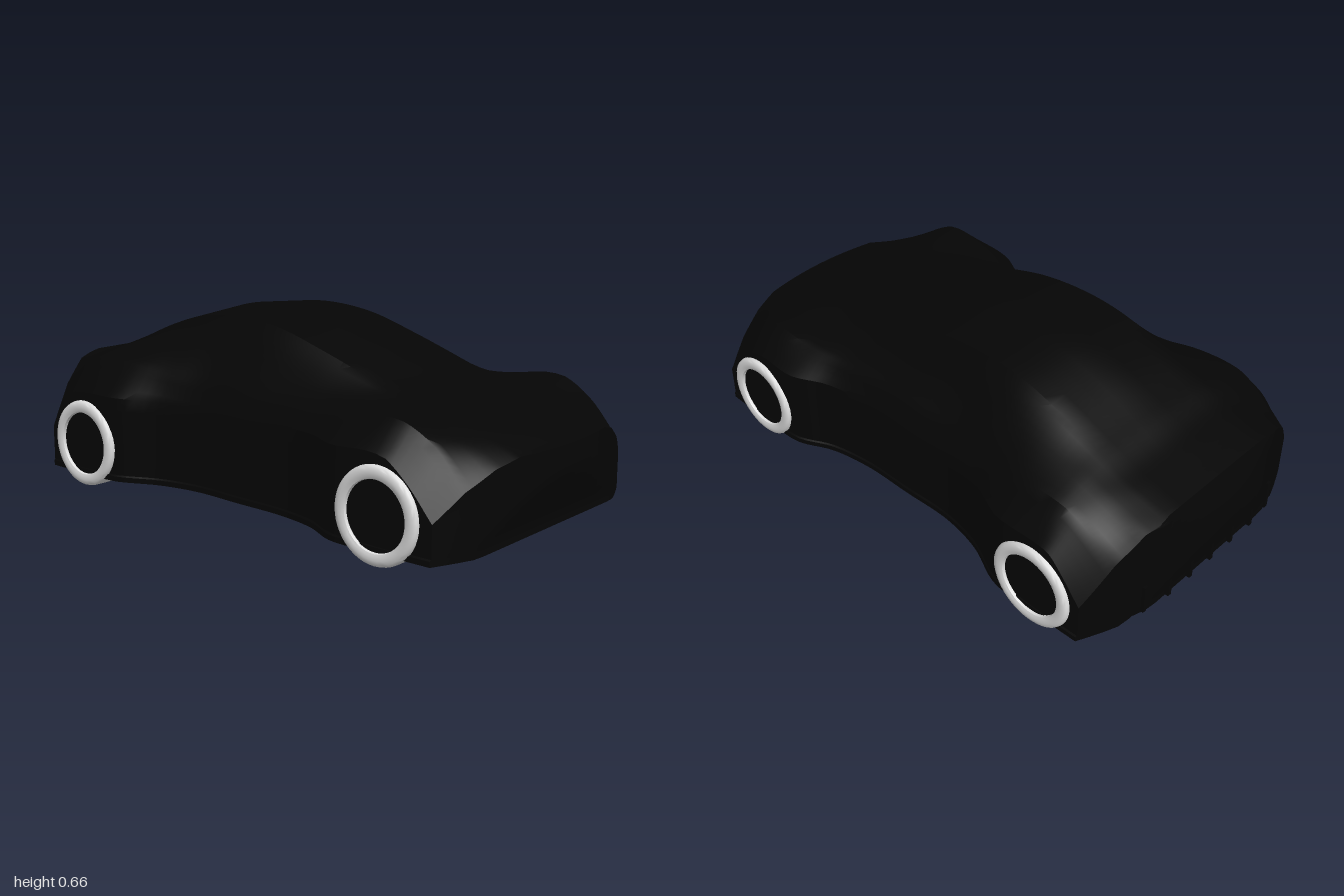
import * as THREE from 'three';
import { toCreasedNormals } from 'three/addons/utils/BufferGeometryUtils.js';

const { clamp, lerp } = THREE.MathUtils;

// Nose to tail: station, centre height, shoulder height, fender x and y, waist x and y
const SECTIONS = [
  [1, .33, .305, .45, .25, .548, .17],
  [.85, .38, .375, .45, .37, .55, .27],
  [.67, .425, .425, .46, .436, .55, .345],
  [.49, .465, .435, .45, .42, .548, .345],
  [.36, .515, .445, .43, .41, .49, .345],
  [.2, .575, .465, .42, .41, .46, .34],
  [0, .635, .485, .42, .41, .455, .33],
  [-.2, .655, .495, .41, .41, .45, .33],
  [-.36, .642, .515, .43, .43, .48, .34],
  [-.52, .595, .515, .455, .455, .548, .345],
  [-.68, .522, .492, .46, .46, .55, .345],
  [-.78, .48, .465, .455, .44, .55, .335],
  [-.88, .458, .435, .45, .395, .55, .28],
  [-1, .435, .41, .44, .33, .548, .19],
];
const STEPS = 64, CROSS = 24;

// Five outline points of a section, from the roof centre to the waist
function outline([s, top, shoulder, fx, fy, wx, wy]) {
  const roofEdge = top - .02 * clamp((top - .43) / .17, 0, 1);
  return [[0, top], [.25, roofEdge], [.345, shoulder], [fx, fy], [wx, wy]]
    .map(([x, y]) => new THREE.Vector3(x, y, s));
}

// How far the nose and tail are pulled in by plan curve and by height
function placeZ(s, x, y) {
  const plan = .13 * (x / .55) ** 2;
  const height = s > 0
    ? .07 * clamp((.25 - y) / .18, 0, 1)
    : y > .27 ? .04 * clamp((y - .31) / .125, 0, 1) : y < .061 ? .07 : .04 * clamp((.22 - y) / .12, 0, 1);
  const weight = clamp((Math.abs(s) - .7) / .3, 0, 1);
  return s - Math.sign(s) * Math.max(plan, height) * weight;
}

function bodyGeometry() {
  const outlines = SECTIONS.map(outline);
  const columns = outlines[0].map((_, j) => new THREE.CatmullRomCurve3(outlines.map(o => o[j])));
  const positions = [], index = [];
  const add = (x, y, s) => positions.push(x, y, placeZ(s, x, y)) / 3 - 1;
  const quad = (a, b, c, d) => index.push(a, b, c, b, d, c);

  // Half outline at each station: faceted upper body, straight flank, sill lip
  const halves = [];
  for (let i = 0; i <= STEPS; i++) {
    const corners = columns.map(c => c.getPoint(i / STEPS));
    const { x: w, y: waist } = corners[4];
    const pts = [corners[0]];
    for (let j = 0; j < 4; j++)
      for (let k = 1; k <= 4; k++) pts.push(corners[j].clone().lerp(corners[j + 1], k / 4));
    for (let k = 1; k <= 6; k++) pts.push(new THREE.Vector2(w, lerp(waist, .065, k / 6)));
    pts.push(new THREE.Vector2(w + .005, .06), new THREE.Vector2(w + .005, .042));
    halves.push({ s: corners[0].z, pts });
  }

  // Skin and floor
  const rings = halves.map(({ s, pts }) => {
    const ring = pts.map(p => add(p.x, p.y, s));
    const last = pts[pts.length - 1];
    for (let k = 1; k < CROSS; k++) ring.push(add(last.x * (1 - 2 * k / CROSS), last.y, s));
    for (let k = pts.length - 1; k >= 0; k--) ring.push(add(-pts[k].x, pts[k].y, s));
    return ring;
  });
  for (let i = 0; i < STEPS; i++)
    for (let k = 0; k < rings[0].length - 1; k++)
      quad(rings[i][k], rings[i][k + 1], rings[i + 1][k], rings[i + 1][k + 1]);

  // Bowed nose and tail faces
  for (const { s, pts } of [halves[0], halves[STEPS]]) {
    const side = Math.sign(s);
    const rows = pts.map(p => Array.from({ length: CROSS + 1 },
      (_, k) => add(side * p.x * (2 * k / CROSS - 1), p.y, s)));
    for (let r = 0; r < rows.length - 1; r++)
      for (let k = 0; k < CROSS; k++)
        quad(rows[r][k], rows[r + 1][k], rows[r][k + 1], rows[r + 1][k + 1]);
  }

  const g = new THREE.BufferGeometry();
  g.setAttribute('position', new THREE.Float32BufferAttribute(positions, 3));
  g.setIndex(index);
  return toCreasedNormals(g, .6);
}

// Wheel ring: thin open barrel with a broad rounded outer face
function ringGeometry() {
  const profile = [[.146, 0], [.157, 0], [.157, .134], [.154, .143], [.147, .148], [.135, .15],
    [.122, .149], [.115, .146], [.113, .14], [.113, .11], [.146, .11], [.146, 0]]
    .map(p => new THREE.Vector2(...p));
  return toCreasedNormals(new THREE.LatheGeometry(profile, 48), .8);
}

export function createModel() {
  const black = new THREE.MeshStandardMaterial({ color: 0x050505 });
  black.name = 'black paint';
  const silver = new THREE.MeshStandardMaterial({ color: 0xdedede });
  silver.name = 'light grey';

  const car = new THREE.Group();
  car.name = 'car';
  const mesh = (name, geometry, material, parent = car) => {
    const m = new THREE.Mesh(geometry, material);
    m.name = name;
    parent.add(m);
    return m;
  };

  mesh('body', bodyGeometry(), black);

  // Upright fins under the tail
  const finGeometry = new THREE.BoxGeometry(.015, .11, .04);
  for (let i = -3; i <= 3; i++) {
    const x = i * .11;
    mesh('diffuserFin', finGeometry, black).position.set(x, .125, placeZ(-1, x, .12) + .012);
  }

  // Wheels: rounded ring around a dark hub
  const ring = ringGeometry();
  const hub = new THREE.CylinderGeometry(.1135, .1135, .05, 48);
  for (const z of [.67, -.68])
    for (const side of [1, -1]) {
      const wheel = new THREE.Group();
      wheel.name = (z > 0 ? 'front' : 'rear') + (side > 0 ? 'Left' : 'Right') + 'Wheel';
      wheel.position.set(side * .418, .157, z);
      wheel.rotation.z = -side * Math.PI / 2;
      mesh('wheelRing', ring, silver, wheel);
      mesh('hub', hub, black, wheel).position.y = .11;
      car.add(wheel);
    }
  return car;
}
